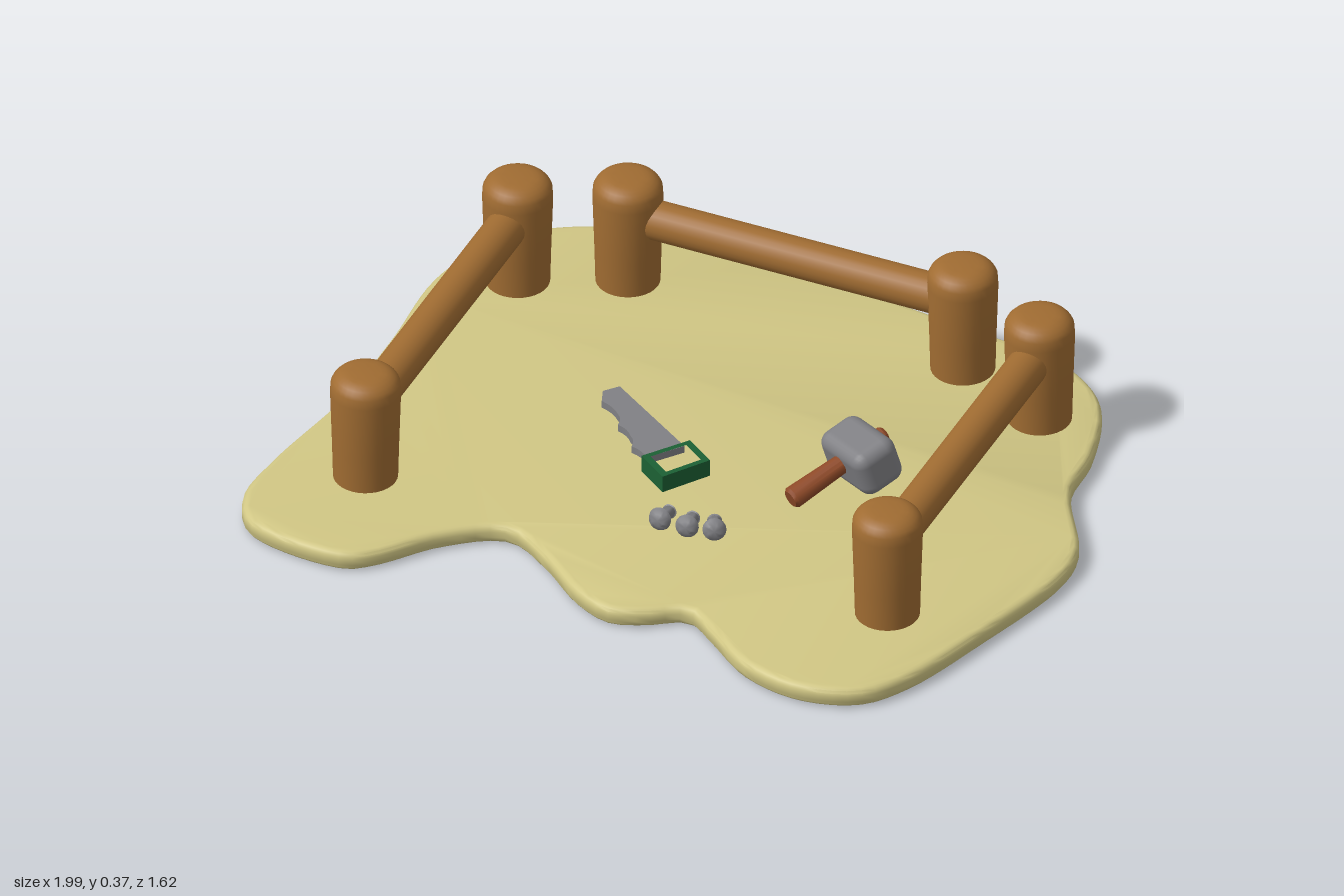
import * as THREE from 'three';
import { toCreasedNormals } from 'three/addons/utils/BufferGeometryUtils.js';
import { RoundedBoxGeometry } from 'three/addons/geometries/RoundedBoxGeometry.js';

const mat = (color) => new THREE.MeshStandardMaterial({ color });
const sand = mat(0xd0c684), wood = mat(0xa06c32), steel = mat(0x808084);
const handleWood = mat(0x8f4a28), green = mat(0x1c6034);
const V = (x, y, z) => new THREE.Vector3(x, y, z);

function add(parent, name, geometry, material) {
  const mesh = new THREE.Mesh(geometry, material);
  mesh.name = name;
  parent.add(mesh);
  return mesh;
}

// Points a mesh's own y axis from a to b, centred between them.
function span(mesh, a, b) {
  mesh.position.copy(a).add(b).multiplyScalar(0.5);
  mesh.quaternion.setFromUnitVectors(V(0, 1, 0), b.clone().sub(a).normalize());
}

// Flat plan outline given as [x, z] pairs.
const plan = (points) => points.map(([x, z]) => new THREE.Vector2(x, -z));

// Extrudes a plan shape upwards from y.
function slab(shape, y, depth, bevel = 0) {
  const g = new THREE.ExtrudeGeometry(shape, {
    depth: depth - 2 * bevel, bevelEnabled: bevel > 0, bevelSize: bevel,
    bevelThickness: bevel, bevelOffset: -bevel, bevelSegments: 4, curveSegments: 4,
  });
  g.rotateX(-Math.PI / 2).translate(0, y + bevel, 0);
  return toCreasedNormals(g, 0.7);
}

function buildGround(group) {
  const outline = [
    [-0.33, -0.815], [-0.66, -0.78], [-0.85, -0.65], [-0.94, -0.43], [-0.935, -0.13],
    [-0.94, 0.14], [-0.99, 0.46], [-0.995, 0.62], [-0.93, 0.725], [-0.66, 0.76],
    [-0.59, 0.71], [-0.476, 0.575], [-0.337, 0.49], [-0.21, 0.555], [-0.075, 0.66],
    [0.03, 0.70], [0.12, 0.67], [0.21, 0.62], [0.29, 0.67], [0.43, 0.77],
    [0.59, 0.805], [0.74, 0.76], [0.82, 0.655], [0.91, 0.40], [0.99, 0.10],
    [0.98, -0.02], [0.86, -0.24], [0.845, -0.40], [0.77, -0.61], [0.62, -0.72],
    [0.35, -0.76], [-0.02, -0.80],
  ];
  const curve = new THREE.CatmullRomCurve3(
    outline.map(([x, z]) => V(x, -z, 0)), true, 'centripetal');
  const pts = curve.getSpacedPoints(180).slice(0, -1).map((p) => new THREE.Vector2(p.x, p.y));
  add(group, 'ground', slab(new THREE.Shape(pts), 0, 0.055, 0.02), sand);
}

// Two round-topped posts joined by a rail.
function buildFence(group, name, a, b) {
  const fence = new THREE.Group();
  fence.name = name;
  const profile = [[0, 0.03], [0.08, 0.03], [0.083, 0.15], [0.088, 0.31]]
    .map(([r, y]) => new THREE.Vector2(r, y));
  for (let i = 1; i <= 6; i++) {
    const t = (i / 6) * Math.PI / 2;
    profile.push(new THREE.Vector2(0.038 + 0.05 * Math.cos(t), 0.325 + 0.042 * Math.sin(t)));
  }
  profile.push(new THREE.Vector2(0, 0.369));
  const postGeo = toCreasedNormals(new THREE.LatheGeometry(profile, 32), 0.8);
  for (const [x, z] of [a, b]) add(fence, 'post', postGeo, wood).position.set(x, 0, z);
  const p = V(a[0], 0.255, a[1]), q = V(b[0], 0.255, b[1]);
  span(add(fence, 'rail', new THREE.CylinderGeometry(0.051, 0.051, p.distanceTo(q), 24), wood), p, q);
  group.add(fence);
}

function buildHammer(group) {
  const hammer = new THREE.Group();
  hammer.name = 'hammer';
  const butt = V(0.265, 0.083, 0.13), top = V(0.408, 0.16, -0.125);
  const axis = top.clone().sub(butt).normalize();

  // Handle, slightly thicker at the butt
  const profile = [[0, 0], [0.022, 0], [0.029, 0.008], [0.025, 0.15], [0.023, 0.292], [0.017, 0.3], [0, 0.3]]
    .map(([r, y]) => new THREE.Vector2(r, y - 0.15));
  span(add(hammer, 'hammerHandle', toCreasedNormals(new THREE.LatheGeometry(profile, 16), 0.6), handleWood), butt, top);

  // Chunky head across the handle
  const head = add(hammer, 'hammerHead', new RoundedBoxGeometry(0.19, 0.125, 0.13, 3, 0.034), steel);
  const along = V(0.9, 0.12, 0.43);
  along.addScaledVector(axis, -along.dot(axis)).normalize();
  head.quaternion.setFromRotationMatrix(
    new THREE.Matrix4().makeBasis(along, axis, along.clone().cross(axis)));
  head.position.set(0.374, 0.128, -0.057);
  group.add(hammer);
}

function buildSaw(group) {
  const saw = new THREE.Group();
  saw.name = 'saw';

  // Blade with a scalloped cutting edge
  const blade = new THREE.Shape(plan([[-0.06, 0.045], [-0.31, -0.12], [-0.34, -0.085], [-0.325, -0.045]]));
  const teeth = [[-0.325, -0.045], [-0.265, -0.01], [-0.247, 0.03], [-0.2, 0.06], [-0.178, 0.1], [-0.125, 0.128]];
  for (let i = 1; i < teeth.length; i++) {
    const [x0, z0] = teeth[i - 1], [x1, z1] = teeth[i];
    blade.quadraticCurveTo((x0 + x1) / 2 + 0.008, -((z0 + z1) / 2 - 0.008), x1, -z1);
  }
  add(saw, 'sawBlade', slab(blade, 0.074, 0.02), steel);

  // Open frame handle
  const corners = [[-0.05, 0.033], [0.03, 0.09], [-0.048, 0.203], [-0.132, 0.143]];
  const frame = new THREE.Shape(plan(corners));
  frame.holes.push(new THREE.Path(plan(
    corners.map(([x, z]) => [-0.05 + (x + 0.05) * 0.73, 0.117 + (z - 0.117) * 0.73]))));
  add(saw, 'sawHandle', slab(frame, 0.06, 0.047), green);
  group.add(saw);
}

function buildScrews(group) {
  // Domed head, stout shank and pointed tip
  const profile = [[0, -0.008], [0.016, -0.005], [0.027, 0.002], [0.03, 0.01], [0.025, 0.018],
    [0.016, 0.022], [0.016, 0.066], [0.019, 0.068], [0, 0.096]]
    .map(([r, y]) => new THREE.Vector2(r, y));
  const geo = toCreasedNormals(new THREE.LatheGeometry(profile, 16), 0.8);
  for (const [x, z, turn] of [[0.01, 0.355, 0], [0.085, 0.355, 0.17], [0.155, 0.34, 0.42]]) {
    const screw = add(group, 'screw', geo, steel);
    screw.position.set(x, 0.092, z);
    screw.rotation.set(-Math.PI / 2 - 0.25, turn, 0, 'YXZ');
  }
}

export function createModel() {
  const group = new THREE.Group();
  group.name = 'workYard';
  buildGround(group);
  buildFence(group, 'rightFence', [-0.75, -0.48], [-0.75, 0.43]);
  buildFence(group, 'backFence', [-0.503, -0.595], [0.405, -0.595]);
  buildFence(group, 'leftFence', [0.665, -0.48], [0.665, 0.43]);
  buildHammer(group);
  buildSaw(group);
  buildScrews(group);
  return group;
}
